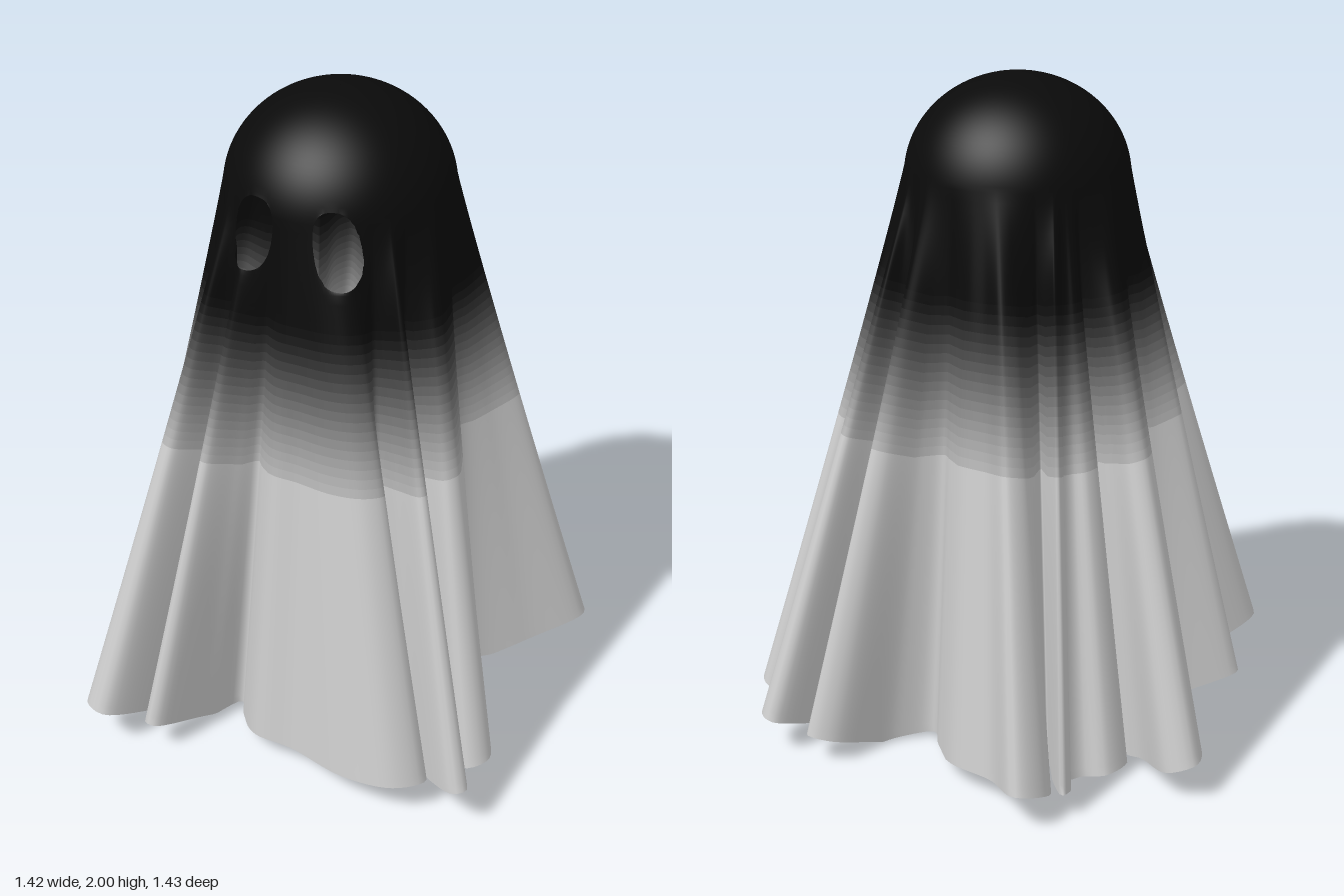
import * as THREE from 'three';

const COLS = 560, DOME_ROWS = 26, SKIRT_ROWS = 60;
const ROWS = DOME_ROWS + SKIRT_ROWS;
const HEAD = { x: 0.03, z: 0.04, r: 0.33, base: 1.7, top: 2 };
const DOME_ARC = 0.93 * Math.PI / 2; // the dome stops just short of vertical

// Hem seen from above as x, z pairs: folds stick out, valleys tuck under the head
const HEM = [
  .40, .02, .53, .12, .62, .28, .67, .42, .62, .47, .46, .34, .31, .25,                    // left front panel
  .30, .28, .48, .38, .67, .60, .64, .63, .46, .48, .33, .36,                              // thin fold
  .31, .38, .42, .46, .53, .56, .46, .64, .30, .64, .10, .56, -.03, .54, -.12, .44, -.16, .37, // front panel
  -.22, .48, -.31, .67, -.35, .65, -.29, .47, -.22, .36, -.23, .34,                        // thin fold
  -.32, .47, -.46, .71, -.54, .66, -.43, .48, -.27, .29,                                   // right front folds
  -.57, .37, -.60, .33, -.44, .22, -.33, .13,
  -.40, .04, -.42, -.06,                                                                   // right side
  -.53, -.10, -.67, -.20, -.71, -.34, -.64, -.37, -.48, -.22, -.33, -.17,                  // right back folds
  -.46, -.24, -.43, -.34, -.36, -.34, -.33, -.42, -.39, -.50, -.40, -.59, -.22, -.29,
  -.27, -.42, -.37, -.62, -.31, -.72, -.17, -.59, -.03, -.54, .08, -.42, .15, -.32,        // back panel
  .24, -.38, .35, -.59, .42, -.61, .44, -.53, .30, -.29,                                   // left back folds
  .42, -.40, .54, -.62, .60, -.57, .55, -.38, .35, -.26,
  .50, -.33, .67, -.42, .71, -.36, .56, -.22, .42, -.08,
];

// Eyes lean so that their tops point towards each other
const EYES = [
  { x: -0.10, y: 1.665, w: 0.066, h: 0.108, lean: 0.16 },
  { x: 0.155, y: 1.66, w: 0.062, h: 0.11, lean: -0.16 },
];

// Evenly spaced hem points
function hemPoints() {
  const pts = [];
  for (let i = 0; i < HEM.length; i += 2) pts.push(new THREE.Vector3(HEM[i], 0, HEM[i + 1]));
  const curve = new THREE.CatmullRomCurve3(pts, true, 'centripetal');
  curve.arcLengthDivisions = 2000;
  return curve.getSpacedPoints(COLS).slice(0, COLS);
}

// Head angle for each column: the hem angle, averaged so that folds fan out evenly
function headAngles(hem) {
  const raw = [];
  hem.forEach((p, i) => {
    let a = Math.atan2(p.z - HEAD.z, p.x - HEAD.x);
    if (i) a += Math.round((raw[i - 1] - a) / (2 * Math.PI)) * 2 * Math.PI;
    raw.push(a);
  });
  const at = (i) => raw[(i + COLS) % COLS] + Math.floor(i / COLS) * 2 * Math.PI;
  const span = Math.round(COLS * 0.08);
  return raw.map((_, i) => {
    let sum = 0;
    for (let k = -span; k <= span; k++) sum += at(i + k);
    return sum / (2 * span + 1);
  });
}

// Hem height: far-reaching tips lift, the diagonal corners sag
function hemHeight(p) {
  const sag = Math.sin(2 * Math.atan2(p.z, p.x)) ** 2;
  return 0.05 + 0.35 * Math.max(0, Math.hypot(p.x, p.z) - 0.5) - 0.05 * sag;
}

// Cloth point for a row and column: dome above, folds opening towards the hem below
function clothPoint(row, p, angle) {
  const a = Math.max(Math.min(row / DOME_ROWS, 1), 0.002) * DOME_ARC;
  const r = HEAD.r * Math.sin(a);
  const x = HEAD.x + r * Math.cos(angle), z = HEAD.z + r * Math.sin(angle);
  const y = HEAD.base + (HEAD.top - HEAD.base) * Math.cos(a);
  const t = Math.max(0, (row - DOME_ROWS) / SKIRT_ROWS), w = Math.pow(t, 1.04);
  return [
    THREE.MathUtils.lerp(x, p.x, w),
    THREE.MathUtils.lerp(y, hemHeight(p), t),
    THREE.MathUtils.lerp(z, p.z, w),
  ];
}

export function createModel() {
  const group = new THREE.Group();
  group.name = 'ghostSheet';
  const hem = hemPoints(), angles = headAngles(hem);
  const positions = [], inEye = [];

  for (let row = 0; row <= ROWS; row++) {
    for (let i = 0; i < COLS; i++) {
      const v = clothPoint(row, hem[i], angles[i]);
      let inside = false;
      // Points inside an eye move out to its rim
      for (const e of EYES) {
        const dy = (v[1] - e.y) / e.h;
        const dx = (v[0] - e.x - e.lean * e.h * dy) / e.w;
        const d = Math.pow(Math.abs(dx) ** 2.5 + Math.abs(dy) ** 2.5, 1 / 2.5);
        if (v[2] > 0 && d < 1) {
          inside = true;
          const k = 1 / Math.max(d, 0.01);
          v[0] = e.x + (dx * e.w + e.lean * e.h * dy) * k;
          v[1] = e.y + dy * e.h * k;
        }
      }
      positions.push(...v);
      inEye.push(inside);
    }
  }

  // Faces row by row, leaving the eyes open
  const rowFaces = [];
  for (let row = 0; row < ROWS; row++) {
    const faces = [];
    for (let i = 0; i < COLS; i++) {
      const j = (i + 1) % COLS;
      const a = row * COLS + i, b = row * COLS + j, c = a + COLS, d = b + COLS;
      if (inEye[a] && inEye[b] && inEye[c] && inEye[d]) continue;
      faces.push(a, b, c, b, d, c);
    }
    rowFaces.push(faces);
  }

  const cloth = new THREE.BufferGeometry();
  cloth.setAttribute('position', new THREE.Float32BufferAttribute(positions, 3));
  cloth.setIndex(rowFaces.flat());
  cloth.computeVertexNormals();

  // A band of rows as one mesh, sharing the smooth normals of the whole cloth
  function addBand(name, from, to, color) {
    const g = new THREE.BufferGeometry();
    g.setAttribute('position', cloth.getAttribute('position'));
    g.setAttribute('normal', cloth.getAttribute('normal'));
    g.setIndex(rowFaces.slice(from, to).flat());
    const mesh = new THREE.Mesh(g, new THREE.MeshStandardMaterial({ color, side: THREE.DoubleSide }));
    mesh.name = name;
    group.add(mesh);
  }

  // Black hood fading row by row into the pale skirt
  const dark = new THREE.Color(0x0a0a0a), pale = new THREE.Color(0xcccccc);
  const fadeStart = DOME_ROWS + 10, fadeEnd = DOME_ROWS + 34;
  addBand('hood', 0, fadeStart, dark);
  for (let row = fadeStart; row < fadeEnd; row++) {
    const t = THREE.MathUtils.smoothstep(row + 0.5, fadeStart, fadeEnd);
    addBand('fadeBand', row, row + 1, dark.clone().lerp(pale, Math.pow(t, 1.3)));
  }
  addBand('skirt', fadeEnd, ROWS, pale);
  return group;
}
